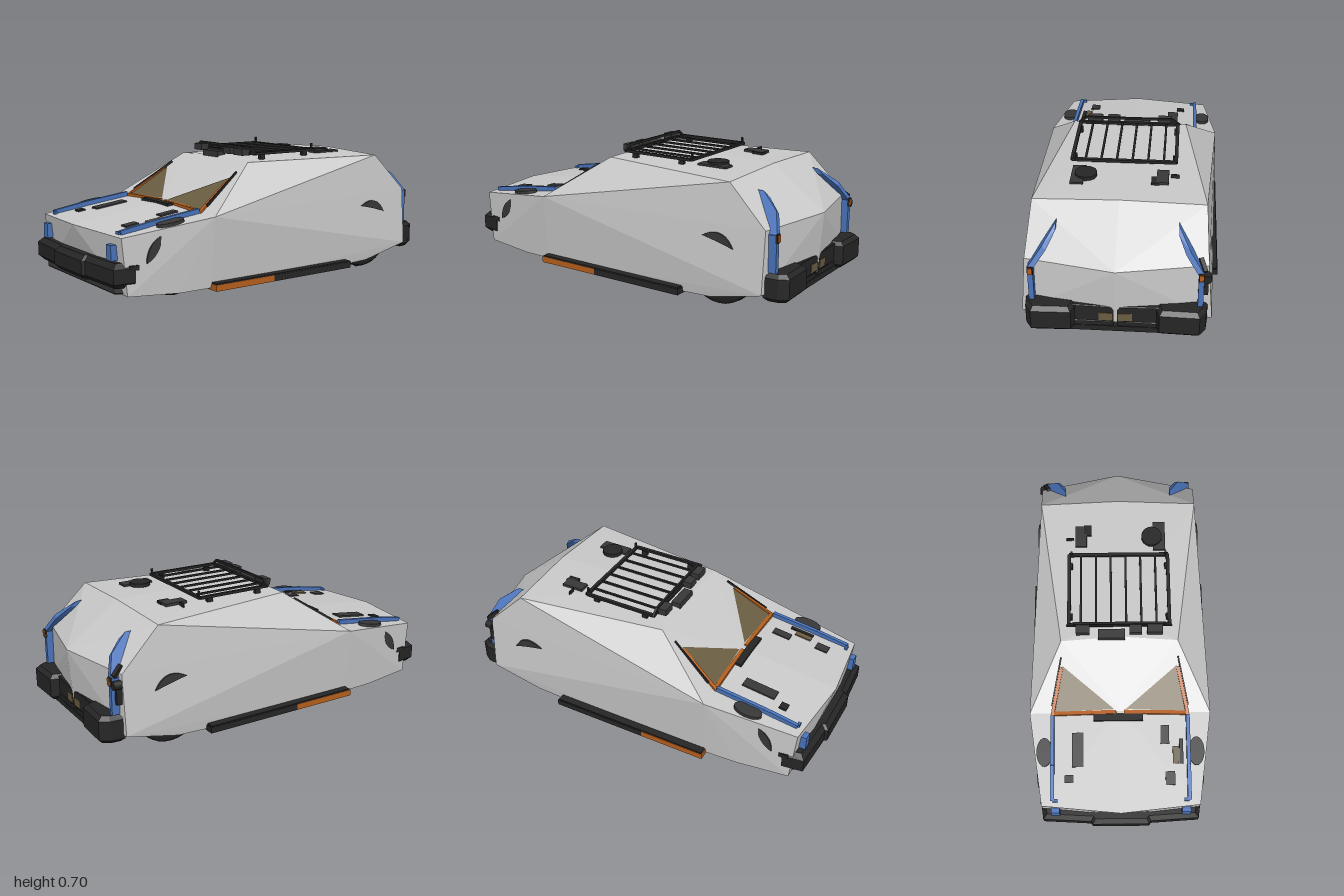
import * as THREE from 'three';
import { ConvexGeometry } from 'three/addons/geometries/ConvexGeometry.js';

const mat = (name, color, opts = {}) => {
  const m = new THREE.MeshStandardMaterial({ color, ...opts });
  m.name = name;
  return m;
};
const vec2 = pts => pts.map(p => new THREE.Vector2(...p));
const mirrored = pts => pts.flatMap(([x, y, z]) => z === 0
  ? [new THREE.Vector3(x, y, 0)]
  : [new THREE.Vector3(x, y, z), new THREE.Vector3(x, y, -z)]);

// convex skin with its underside and the seam at the cowl left open
function openHull(pts) {
  const p = new ConvexGeometry(mirrored(pts)).getAttribute('position');
  const keep = [], t = new THREE.Triangle(), n = new THREE.Vector3();
  for (let i = 0; i < p.count; i += 3) {
    t.setFromAttributeAndIndices(p, i, i + 1, i + 2);
    t.getNormal(n);
    const seam = [t.a, t.b, t.c].every(v => Math.abs(v.x + 0.445) < 0.02);
    if (!seam && n.y > -0.8) keep.push(...t.a, ...t.b, ...t.c);
  }
  const g = new THREE.BufferGeometry();
  g.setAttribute('position', new THREE.Float32BufferAttribute(keep, 3));
  g.computeVertexNormals();
  return g;
}

export function createModel() {
  const model = new THREE.Group();
  model.name = 'offRoadCar';
  const shellGrey = mat('shellGrey', 0xcacaca);
  const black = mat('black', 0x262626);
  const darkGrey = mat('darkGrey', 0x383838);
  const blue = mat('blue', 0x4a74bc);
  const orange = mat('orange', 0xb8601e);
  const glass = mat('brownGlass', 0x6a5d42, { side: THREE.DoubleSide });

  const add = (name, geo, material, x = 0, y = 0, z = 0) => {
    const m = new THREE.Mesh(geo, material);
    m.name = name;
    m.position.set(x, y, z);
    model.add(m);
    return m;
  };
  const box = (name, material, w, h, d, x, y, z) =>
    add(name, new THREE.BoxGeometry(w, h, d), material, x, y, z);
  // box-section bar between two points
  const bar = (name, material, a, b, w, h) => {
    const p = new THREE.Vector3(...a), q = new THREE.Vector3(...b);
    const m = add(name, new THREE.BoxGeometry(w, h, p.distanceTo(q)), material);
    m.position.copy(p).add(q).multiplyScalar(0.5);
    m.lookAt(q);
    return m;
  };
  // plan outline (x, z) extruded between two heights with chamfered edges
  const plan = (name, material, pts, y0, y1, c) => {
    const g = new THREE.ExtrudeGeometry(new THREE.Shape(vec2(pts)), {
      depth: y1 - y0 - 2 * c, bevelThickness: c, bevelSize: c, bevelOffset: -c, bevelSegments: 1,
    });
    g.rotateX(Math.PI / 2);
    return add(name, g, material, 0, y1 - c, 0);
  };

  // faceted shell: bonnet and cabin hulls meeting at the cowl
  const cowl = [[-0.44, 0.425, 0], [-0.445, 0.405, 0.48], [-0.45, 0.048, 0.45]];
  add('bonnetShell', openHull([
    ...cowl, [-0.968, 0.355, 0], [-0.925, 0.345, 0.415], [-0.9, 0.065, 0.42], [-0.62, 0.046, 0.44],
  ]), shellGrey);
  add('cabinShell', openHull([
    ...cowl, [-0.118, 0.632, 0.305], [-0.1, 0.645, 0], [0.0, 0.655, 0],
    [0.68, 0.632, 0.42], [0.69, 0.648, 0], [0.975, 0.435, 0], [0.95, 0.12, 0],
    [0.885, 0.43, 0.435], [0.885, 0.12, 0.46], [0.6, 0.052, 0.45], [0.44, 0.046, 0.45],
  ]), shellGrey);

  // recessed chassis
  box('floorPan', black, 1.76, 0.05, 0.8, -0.01, 0.145, 0);
  box('sillPan', black, 0.86, 0.06, 0.86, 0, 0.09, 0);
  box('gearboxGuard', darkGrey, 0.3, 0.03, 0.15, -0.2, 0.052, 0);
  box('exhaust', darkGrey, 0.7, 0.03, 0.05, 0.1, 0.055, -0.15);
  box('fuelTank', darkGrey, 0.3, 0.03, 0.22, 0.26, 0.055, 0.12);
  box('rearSkid', black, 0.155, 0.03, 0.5, 0.878, 0.085, 0);
  box('towGuard', darkGrey, 0.2, 0.05, 0.15, 0.78, 0.07, 0);
  box('frontSkid', darkGrey, 0.2, 0.04, 0.5, -0.79, 0.09, 0);
  for (const x of [-0.62, 0.62]) {
    add('axle', new THREE.CylinderGeometry(0.025, 0.025, 0.68, 12).rotateX(Math.PI / 2), black, x, 0.1, 0);
    box('differential', darkGrey, 0.12, 0.07, 0.12, x, 0.095, 0.05);
  }
  for (let i = 0; i < 4; i++) box('crossMember', darkGrey, 0.035, 0.03, 0.8, -0.36 + i * 0.24, 0.06, 0);

  // roof panel fittings
  add('roofVent', new THREE.CylinderGeometry(0.055, 0.055, 0.02, 20), black, 0.47, 0.655, 0.18);
  box('roofVentPad', darkGrey, 0.165, 0.01, 0.065, 0.475, 0.65, 0.22);
  box('antennaBase', darkGrey, 0.12, 0.014, 0.06, 0.475, 0.65, -0.2);
  box('antennaPlug', black, 0.06, 0.014, 0.04, 0.51, 0.65, -0.165);
  box('antenna', black, 0.006, 0.02, 0.04, 0.46, 0.65, -0.26);

  // roof rack
  for (const s of [1, -1]) {
    box('rackSideRail', black, 0.4, 0.014, 0.018, 0.158, 0.668, s * 0.262);
    bar('rackHoopEnd', black, [-0.045, 0.665, s * 0.272], [-0.045, 0.697, s * 0.23], 0.012, 0.012);
    box('rackPost', black, 0.01, 0.04, 0.01, 0.358, 0.682, s * 0.25);
    for (const x of [0.01, 0.3]) box('rackFoot', black, 0.03, 0.03, 0.02, x, 0.65, s * 0.255);
  }
  for (const x of [-0.042, 0.358]) box('rackEndRail', black, 0.018, 0.014, 0.53, x, 0.668, 0);
  for (let i = 0; i < 6; i++) box('rackSlat', black, 0.39, 0.01, 0.011, 0.158, 0.668, -0.2 + i * 0.079);
  box('rackHoop', black, 0.012, 0.012, 0.46, -0.045, 0.696, 0);
  for (const [x, y, z, d] of [[-0.07, 0.675, -0.19, 0.07], [-0.09, 0.65, -0.04, 0.14],
    [-0.07, 0.675, 0.085, 0.065], [-0.07, 0.675, 0.185, 0.08]])
    box('rackLamp', darkGrey, 0.05, 0.035, d, x, y, z);

  // bonnet fittings showing through the skin
  const bonnetY = (x, z) => 0.357 + (x + 0.968) * 0.13 - Math.abs(z) * 0.035;
  const fit = (name, m, w, d, x, z) => box(name, m, w, 0.012, d, x, bonnetY(x, z), z).rotation.z = 0.13;
  fit('engineCover', darkGrey, 0.18, 0.06, -0.64, -0.225);
  fit('bonnetLatch', black, 0.04, 0.045, -0.79, -0.27);
  fit('batteryCap', darkGrey, 0.07, 0.05, -0.79, 0.26);
  fit('reservoir', darkGrey, 0.1, 0.045, -0.565, 0.235);
  fit('filterLid', glass, 0.09, 0.03, -0.67, 0.29);
  fit('filterPipe', black, 0.13, 0.02, -0.65, 0.32);
  box('wiperBox', black, 0.04, 0.03, 0.26, -0.472, 0.413, -0.01);

  // rounded tyre, axis along z
  const tyreGeo = new THREE.LatheGeometry(vec2([
    [0, -0.055], [0.14, -0.055], [0.172, -0.05], [0.185, -0.035], [0.19, 0],
    [0.185, 0.035], [0.172, 0.05], [0.14, 0.055], [0, 0.055],
  ]), 32).rotateX(Math.PI / 2);

  // crescent wheel arch lips
  const crescent = (a, c1, b, c2) => {
    const s = new THREE.Shape();
    s.moveTo(...a);
    s.quadraticCurveTo(...c1, ...b);
    s.quadraticCurveTo(...c2, ...a);
    return s;
  };
  const frontArch = crescent([-0.722, 0.342], [-0.8, 0.31], [-0.805, 0.215], [-0.725, 0.25]);
  const rearArch = crescent([0.55, 0.36], [0.665, 0.425], [0.722, 0.317], [0.65, 0.34]);

  // windscreen facet height
  const screenY = (x, z) => 0.43 + 0.675 * (x + 0.44) - 0.035 * z;

  for (const s of [1, -1]) {
    add('frontTyre', tyreGeo, black, -0.63, 0.2, s * 0.365).scale.setScalar(0.92);
    add('rearTyre', tyreGeo, black, 0.62, 0.195, s * 0.37);
    box('mudGuardTab', black, 0.05, 0.03, 0.016, 0.62, 0.015, s * 0.368);

    // arch tops breaking through the bonnet, and lips on the flanks
    const archTop = add('frontArchTop', new THREE.CylinderGeometry(0.075, 0.075, 0.02, 24), darkGrey,
      -0.65, bonnetY(-0.65, 0.4) + 0.002, s * 0.4);
    archTop.scale.z = 0.55;
    archTop.rotation.z = 0.13;
    for (const [shape, z] of [[frontArch, 0.442], [rearArch, 0.457]]) {
      const g = new THREE.ExtrudeGeometry(shape, { depth: 0.06, bevelEnabled: false });
      add('archLip', g, darkGrey, 0, 0, s > 0 ? z - 0.06 : -z);
    }
    box('sideMarker', black, 0.05, 0.025, 0.02, -0.865, 0.2, s * 0.42);

    // side steps
    box('sideStepFront', orange, 0.36, 0.032, 0.075, -0.27, 0.054, s * 0.46);
    box('sideStepRear', black, 0.53, 0.032, 0.075, 0.175, 0.054, s * 0.46);
    box('sideStepTread', black, 0.88, 0.007, 0.055, -0.005, 0.073, s * 0.467);

    // windscreen glass, pillars and dark outer seals
    const tri = [[-0.432, 0.03], [-0.23, 0.30], [-0.44, 0.35]].map(([x, z]) => [x, screenY(x, z), s * z]);
    const g = new THREE.BufferGeometry();
    g.setAttribute('position', new THREE.Float32BufferAttribute((s > 0 ? [tri[0], tri[2], tri[1]] : tri).flat(), 3));
    g.computeVertexNormals();
    add('windscreen', g, glass);
    bar('windscreenPillar', orange, [-0.46, 0.405, s * 0.36],
      [-0.235, screenY(-0.235, 0.305) - 0.007, s * 0.305], 0.018, 0.016);
    bar('windscreenSeal', black, [-0.41, 0.44, s * 0.36],
      [-0.19, screenY(-0.19, 0.305) - 0.004, s * 0.306], 0.006, 0.02);
    bar('cowlTrim', orange, [-0.445, 0.424, s * 0.02], [-0.45, 0.416, s * 0.35], 0.02, 0.018);

    // blue bonnet edges and front corners
    bar('bonnetEdgeFront', blue, [-0.9, 0.358, s * 0.358], [-0.72, 0.388, s * 0.358], 0.02, 0.024);
    bar('bonnetEdgeRear', blue, [-0.72, 0.388, s * 0.358], [-0.46, 0.421, s * 0.358], 0.02, 0.024);
    bar('bonnetEdgeTip', blue, [-0.9, 0.358, s * 0.356], [-0.9, 0.358, s * 0.33], 0.015, 0.014);
    box('frontLampSurround', blue, 0.045, 0.075, 0.045, -0.933, 0.27, s * 0.345);

    // blue rear pillars with tail lamps
    add('rearPillarUpper', new ConvexGeometry([
      [0.76, 0.58, 0.29], [0.79, 0.58, 0.29], [0.78, 0.552, 0.29], [0.825, 0.552, 0.29],
      [0.83, 0.508, 0.346], [0.89, 0.508, 0.346], [0.87, 0.49, 0.327], [0.895, 0.49, 0.327],
      [0.87, 0.412, 0.414], [0.935, 0.412, 0.414], [0.87, 0.405, 0.388], [0.935, 0.405, 0.388],
    ].map(([x, y, z]) => new THREE.Vector3(x, y, s * z))), blue);
    box('rearPillarLower', blue, 0.055, 0.185, 0.026, 0.905, 0.317, s * 0.401);
    box('tailLampFrame', black, 0.01, 0.044, 0.027, 0.932, 0.394, s * 0.401);
    box('tailLamp', orange, 0.02, 0.034, 0.022, 0.932, 0.394, s * 0.401);

    // rear bumper half
    plan('rearBumper', black, [[0.88, 0.2], [0.935, 0.19], [0.995, 0.21], [1, 0.4], [0.955, 0.43], [0.88, 0.437]]
      .map(([x, z]) => [x, s * z]), 0.085, 0.225, 0.02);
    plan('rearBumperCentre', black, [[0.88, 0.009], [0.955, 0.009], [0.95, 0.21], [0.88, 0.21]]
      .map(([x, z]) => [x, s * z]), 0.125, 0.218, 0.004);
    plan('rearBumperLip', black, [[0.86, 0.01], [0.95, 0.01], [0.955, 0.26], [0.86, 0.26]]
      .map(([x, z]) => [x, s * z]), 0.085, 0.127, 0.004);
    bar('fogLamp', glass, [0.955, 0.157, s * 0.012], [0.953, 0.157, s * 0.08], 0.006, 0.044);
  }

  // front bumper
  plan('frontBumper', black, [[-0.86, -0.43], [-0.97, -0.415], [-0.985, -0.16], [-1, -0.15],
    [-1, 0.15], [-0.985, 0.16], [-0.97, 0.415], [-0.86, 0.43]], 0.105, 0.225, 0.025);
  plan('frontBumperLip', darkGrey, [[-0.86, -0.4], [-0.94, -0.36], [-0.94, 0.36], [-0.86, 0.4]], 0.07, 0.12, 0.006);

  // jack fitting on the right rear corner
  box('jackBracket', black, 0.05, 0.11, 0.02, 0.89, 0.335, -0.425);
  add('jackHead', new THREE.CylinderGeometry(0.022, 0.022, 0.04, 16).rotateZ(Math.PI / 2), black, 0.91, 0.38, -0.428);
  bar('jackHandle', black, [0.87, 0.46, -0.395], [0.92, 0.42, -0.418], 0.02, 0.02);

  return model;
}
